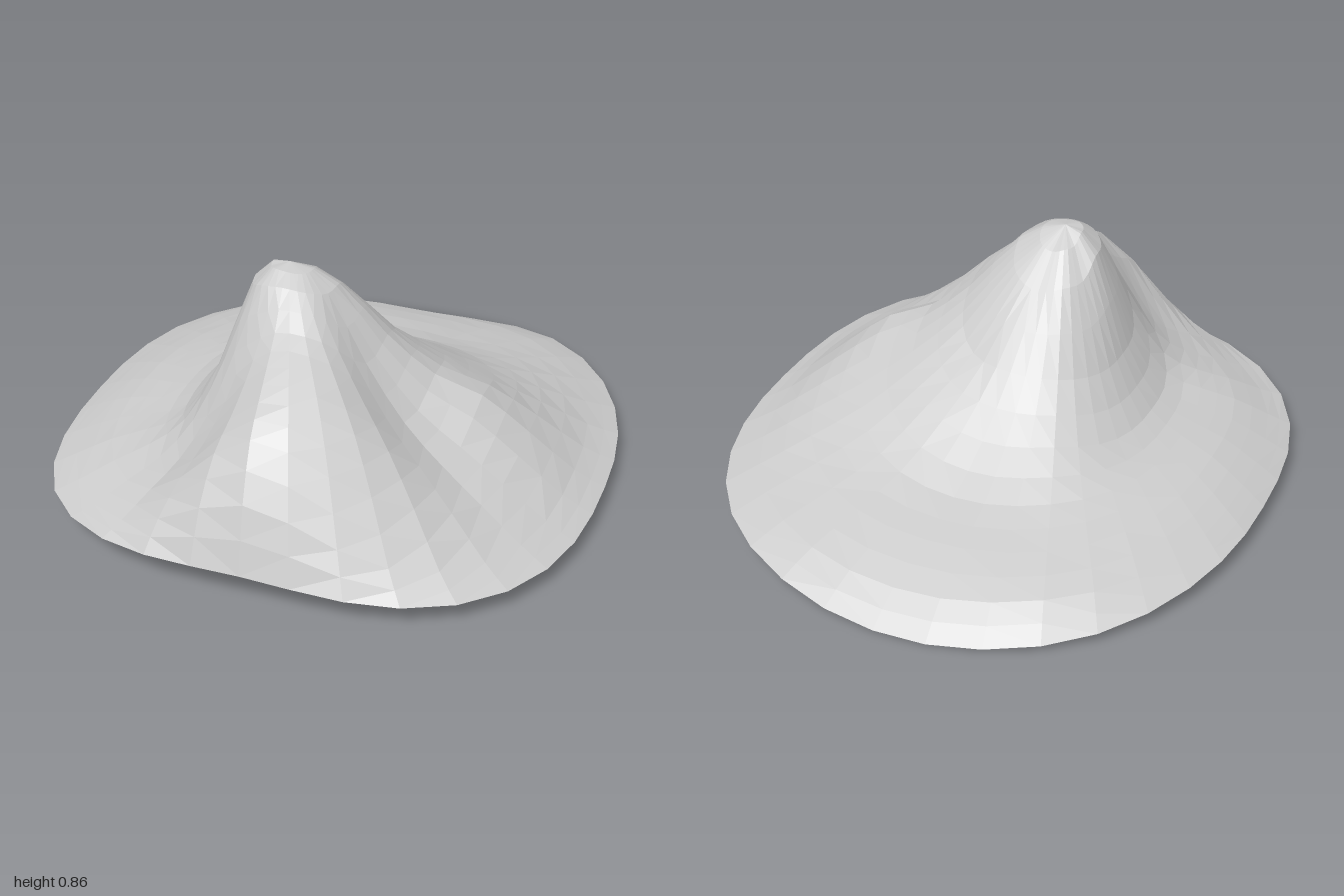
import * as THREE from 'three';

const SEGMENTS = 36, RINGS = 14;
const PEAK = { x: -0.1, y: 0.87, z: 0.27 };

// Fractions of the way from peak to rim at which heights are given
const STOPS = [0, 0.15, 0.3, 0.45, 0.6, 0.75, 0.9, 1];

// Height profiles from peak to rim, every 30 degrees from +x towards +z
const PROFILES = [
  [0.80, 0.62, 0.48, 0.41, 0.28, 0.14, 0.08], // left spur
  [0.80, 0.59, 0.42, 0.31, 0.22, 0.13, 0.08], // hollow
  [0.82, 0.71, 0.62, 0.52, 0.37, 0.19, 0.10], // side of the front ridge
  [0.83, 0.725, 0.66, 0.60, 0.53, 0.36, 0.14], // front ridge and cliff
  [0.82, 0.61, 0.41, 0.29, 0.22, 0.15, 0.11],
  [0.79, 0.47, 0.28, 0.22, 0.18, 0.12, 0.08],
  [0.79, 0.45, 0.27, 0.22, 0.19, 0.13, 0.08], // steep right flank
  [0.73, 0.45, 0.28, 0.22, 0.18, 0.12, 0.075],
  [0.72, 0.47, 0.32, 0.22, 0.17, 0.12, 0.035],
  [0.70, 0.48, 0.31, 0.20, 0.155, 0.09, 0.005], // drooping back
  [0.72, 0.49, 0.35, 0.23, 0.17, 0.12, 0.07],
  [0.76, 0.56, 0.42, 0.31, 0.22, 0.13, 0.08],
].map((row) => [PEAK.y, ...row]);

// Smooth curve through four neighbouring values
function smooth(a, b, c, d, t) {
  return b + 0.5 * t * (c - a + t * (2 * a - 5 * b + 4 * c - d + t * (3 * (b - c) + d - a)));
}

// Sample a list along 0..1; mirror = 1 rounds over the start, -1 runs straight through it
function sample(list, s, mirror) {
  const last = list.length - 1;
  const f = Math.min(s * last, last - 1e-6), i = Math.floor(f);
  const before = i > 0 ? list[i - 1] : mirror * list[1];
  const after = i + 2 > last ? 2 * list[last] - list[last - 1] : list[i + 2];
  return smooth(before, list[i], list[i + 1], after, f - i);
}

// Squarish oval outline, widest a little ahead of the middle and rounder at the back
function rimPoint(angle) {
  const c = Math.cos(angle), s = Math.sin(angle);
  const [depth, n] = s > 0 ? [0.95, 2.7] : [1.05, 2.3];
  const r = Math.pow(Math.pow(Math.abs(c) / 0.95, n) + Math.pow(Math.abs(s) / depth, n), -1 / n);
  return { x: c * r, z: 0.05 + s * r };
}

function heightAt(angle, s) {
  const count = PROFILES.length;
  const f = (angle / (2 * Math.PI)) * count, i = Math.floor(f);
  const h = [-1, 0, 1, 2].map((k) => sample(PROFILES[(i + k + count) % count], s, 1));
  return Math.max(0, smooth(...h, f - i));
}

function shellGeometry() {
  const points = [new THREE.Vector3(PEAK.x, PEAK.y, PEAK.z)], index = [];
  for (let r = 1; r <= RINGS; r++) {
    const s = r / RINGS, u = sample(STOPS, s, -1);
    for (let j = 0; j < SEGMENTS; j++) {
      const angle = (j / SEGMENTS) * 2 * Math.PI, rim = rimPoint(angle);
      points.push(new THREE.Vector3(
        PEAK.x + (rim.x - PEAK.x) * u,
        heightAt(angle, s),
        PEAK.z + (rim.z - PEAK.z) * u));
    }
  }
  const at = (r, j) => 1 + (r - 1) * SEGMENTS + (j % SEGMENTS);
  for (let j = 0; j < SEGMENTS; j++) {
    index.push(0, at(1, j + 1), at(1, j));
    for (let r = 1; r < RINGS; r++) {
      const a = at(r, j), b = at(r, j + 1), c = at(r + 1, j + 1), d = at(r + 1, j);
      // Split each quad along its shorter diagonal
      if (points[a].distanceTo(points[c]) < points[b].distanceTo(points[d])) index.push(a, b, c, a, c, d);
      else index.push(a, b, d, b, c, d);
    }
  }
  const geometry = new THREE.BufferGeometry().setFromPoints(points);
  geometry.setIndex(index);
  geometry.computeVertexNormals();
  return geometry;
}

export function createModel() {
  const group = new THREE.Group();
  group.name = 'peakedShell';
  // Thin open shell: peak, ridges and flared brim in one surface
  const shell = new THREE.Mesh(shellGeometry(), new THREE.MeshStandardMaterial({
    color: 0xcccccc, flatShading: true, side: THREE.DoubleSide,
  }));
  shell.name = 'peakAndBrim';
  group.add(shell);
  return group;
}
